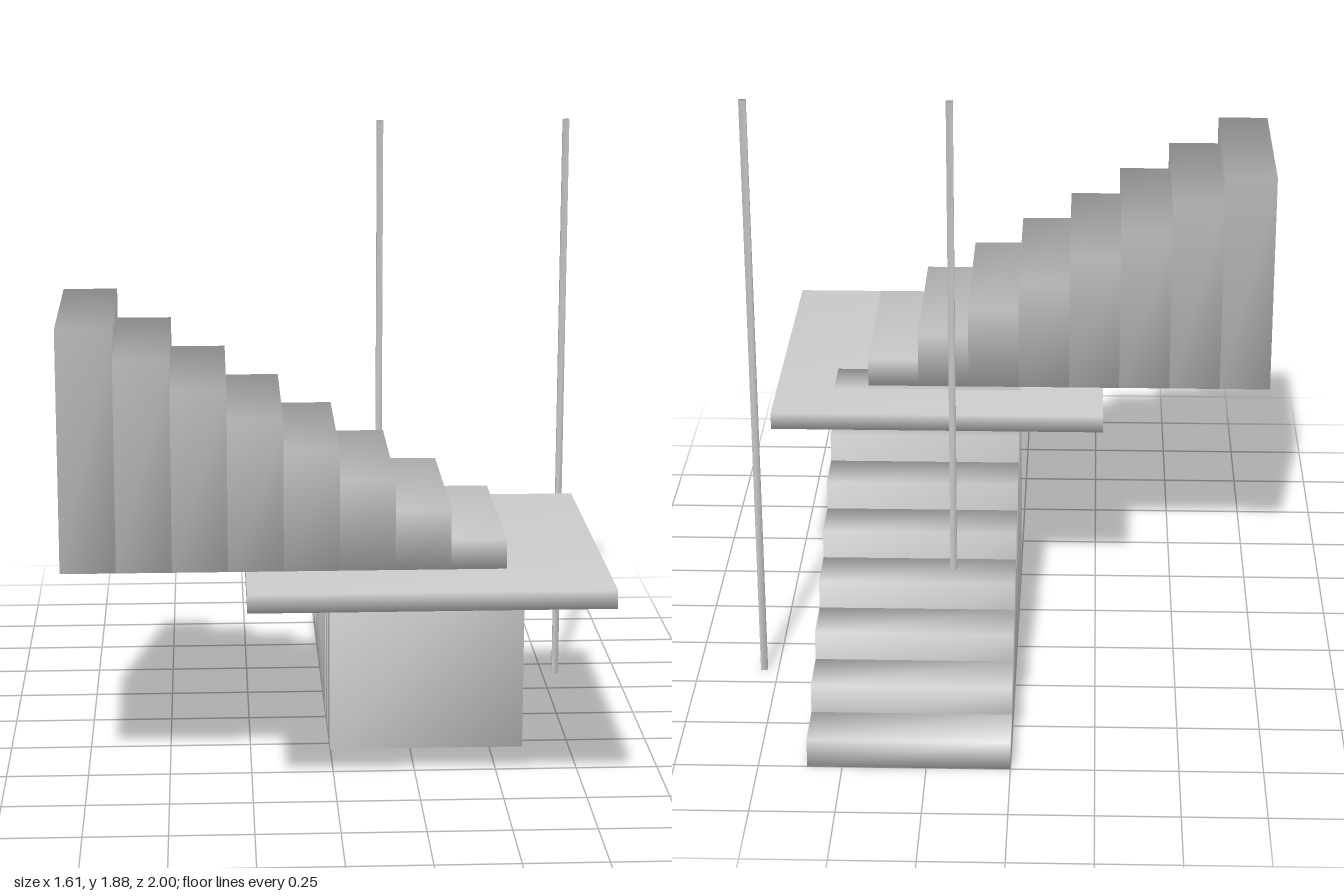
import * as THREE from 'three';
import { mergeVertices } from 'three/addons/utils/BufferGeometryUtils.js';

const material = new THREE.MeshStandardMaterial({ color: 0xcccccc });

// Box given by its min and max corners, with corners shared so the shading is soft
function block(name, [x0, y0, z0], [x1, y1, z1]) {
  let geometry = new THREE.BoxGeometry(x1 - x0, y1 - y0, z1 - z0);
  geometry.deleteAttribute('normal');
  geometry.deleteAttribute('uv');
  geometry = mergeVertices(geometry);
  geometry.computeVertexNormals();
  const mesh = new THREE.Mesh(geometry, material);
  mesh.name = name;
  mesh.position.set((x0 + x1) / 2, (y0 + y1) / 2, (z0 + z1) / 2);
  return mesh;
}

export function createModel() {
  const model = new THREE.Group();
  model.name = 'staircase';

  const steps = 8, tread = 0.163, rise = 0.0907;
  const landingTop = steps * rise;

  // Two flights of solid steps, at right angles to each other
  const lowerFlight = new THREE.Group();
  lowerFlight.name = 'lowerFlight';
  const upperFlight = new THREE.Group();
  upperFlight.name = 'upperFlight';
  for (let i = 0; i < steps; i++) {
    const z = -1 + i * tread;
    lowerFlight.add(block('lowerStep', [0, 0, z], [0.604, (i + 1) * rise, z + tread]));
    const x = 0.495 - i * tread;
    upperFlight.add(block('upperStep', [x - tread, landingTop, 0.17],
      [x, landingTop + (i + 1) * rise, 0.773]));
  }
  model.add(lowerFlight, upperFlight);

  // Landing slab between the flights
  model.add(block('landing', [-0.268, 0.67, -0.057], [0.79, landingTop, 1]));

  // Tall thin posts
  const r = 0.01;
  for (const x of [0.192, 0.795]) {
    model.add(block('post', [x - r, 0, -0.415 - r], [x + r, 1.883, -0.415 + r]));
  }
  return model;
}
